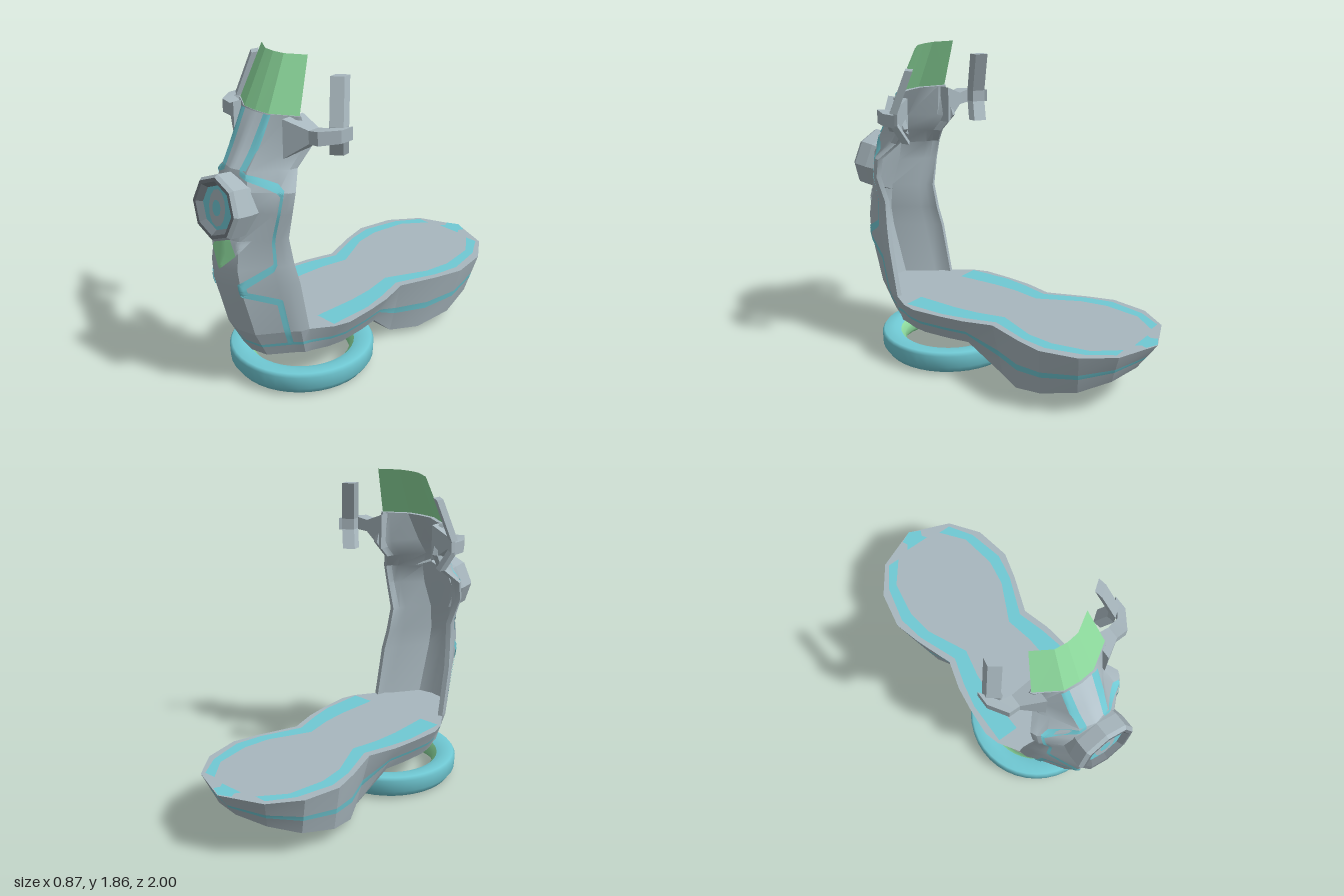
import * as THREE from 'three';
import { toCreasedNormals } from 'three/addons/utils/BufferGeometryUtils.js';

const V = (x, y, z) => new THREE.Vector3(x, y, z);
const flip = (p) => V(-p.x, p.y, p.z);

// Shield stations: height, front z, rear-edge z, half width
const STATIONS = [
  [0.21, 0.77, 0.54, 0.24], [0.375, 0.86, 0.585, 0.27], [0.675, 0.945, 0.64, 0.265],
  [0.79, 0.955, 0.665, 0.25], [0.94, 0.93, 0.685, 0.235], [1.1, 0.89, 0.7, 0.285],
  [1.21, 0.87, 0.68, 0.29], [1.3, 0.855, 0.6, 0.22], [1.4, 0.79, 0.52, 0.24], [1.575, 0.685, 0.585, 0.235],
];
// Half cross-section: fraction of width, fraction of depth
const HALF = [[0, 0], [0.42, 0.1], [0.8, 0.65], [0.95, 0.82], [1, 1]];

// Point on the shield surface; u runs from 0 (front centre) to +-4 (rear edges)
function surface(u, y, offset = 0) {
  let k = 0;
  while (k < STATIONS.length - 2 && y > STATIONS[k + 1][0]) k++;
  const a = STATIONS[k], b = STATIONS[k + 1], t = (y - a[0]) / (b[0] - a[0]);
  const [zf, zb, w] = [1, 2, 3].map((i) => a[i] + (b[i] - a[i]) * t);
  const s = Math.sign(u), v = Math.abs(u), i = Math.min(3, Math.floor(v)), f = v - i;
  const [px, pz] = [0, 1].map((j) => HALF[i][j] + (HALF[i + 1][j] - HALF[i][j]) * f);
  const dx = (HALF[i + 1][0] - HALF[i][0]) * w, dz = (HALF[i + 1][1] - HALF[i][1]) * (zf - zb);
  const len = Math.hypot(dx, dz);
  return V(s * (px * w + offset * dz / len), y, zf - pz * (zf - zb) + offset * dx / len);
}

function build(tris, crease) {
  const geo = new THREE.BufferGeometry().setFromPoints(tris);
  geo.computeVertexNormals();
  return toCreasedNormals(geo, crease);
}

// Skin closed loops; loops have an even count and run counter-clockwise about the growth direction
function loft(rings, { bottom = true, top = true, crease = 0.3 } = {}) {
  const tris = [], n = rings[0].length;
  const quad = (a, b, c, d) => tris.push(a, b, c, a, c, d);
  for (let r = 0; r < rings.length - 1; r++)
    for (let i = 0; i < n; i++) {
      const j = (i + 1) % n;
      quad(rings[r][i], rings[r][j], rings[r + 1][j], rings[r + 1][i]);
    }
  const first = rings[0], last = rings[rings.length - 1];
  for (let i = 0; i < n / 2 - 1; i++) {
    if (top) quad(last[i], last[i + 1], last[n - 2 - i], last[n - 1 - i]);
    if (bottom) quad(first[n - 1 - i], first[n - 2 - i], first[i + 1], first[i]);
  }
  return build(tris, crease);
}

// Open sheet through rows of points
function sheet(rows, crease = 0.5) {
  const tris = [];
  for (let r = 0; r < rows.length - 1; r++)
    for (let i = 0; i < rows[0].length - 1; i++) {
      const a = rows[r][i], b = rows[r][i + 1], c = rows[r + 1][i + 1], d = rows[r + 1][i];
      tris.push(a, b, c, a, c, d);
    }
  return build(tris, crease);
}

// Thin patch on the shield between two borders given as [u, y]
function patch(A, B, side = 1, offset = 0.007) {
  const rows = [], steps = 10, across = 6;
  const mix = THREE.MathUtils.lerp;
  for (let k = 0; k < A.length - 1; k++)
    for (let s = k ? 1 : 0; s <= steps; s++) {
      const t = s / steps;
      const a = [0, 1].map((i) => mix(A[k][i], A[k + 1][i], t));
      const b = [0, 1].map((i) => mix(B[k][i], B[k + 1][i], t));
      const row = [];
      for (let c = 0; c <= across; c++) {
        const f = c / across;
        row.push(surface(side * mix(a[0], b[0], f), mix(a[1], b[1], f), offset));
      }
      rows.push(side > 0 ? row : row.reverse());
    }
  return sheet(rows);
}

export function createModel() {
  const model = new THREE.Group();
  const mat = (name, color, side = THREE.FrontSide) =>
    Object.assign(new THREE.MeshStandardMaterial({ color, side }), { name });
  const grey = mat('grey', 0xa8b7be);
  const lightGrey = mat('light grey', 0xb6c6ce, THREE.DoubleSide);
  const darkGrey = mat('dark grey', 0x737d83);
  const cyan = mat('cyan', 0x70c9d4, THREE.DoubleSide);
  const green = mat('green', 0x8fdd9f, THREE.DoubleSide);
  const add = (name, geo, material, parent = model) => {
    const mesh = new THREE.Mesh(geo, material);
    mesh.name = name;
    parent.add(mesh);
    return mesh;
  };

  // Hover ring
  const lathe = (pts, seg) => new THREE.LatheGeometry(pts.map(([x, y]) => new THREE.Vector2(x, y)), seg);
  const outer = [[0.34, 0], [0.38, 0.008], [0.41, 0.05], [0.413, 0.12], [0.4, 0.14], [0.34, 0.14], [0.3, 0.125]];
  const inner = [[0.3, 0.125], [0.275, 0.095], [0.275, 0.045], [0.3, 0.012], [0.34, 0]];
  add('hoverRing', lathe(outer, 40), cyan).position.z = 0.4;
  add('hoverRingGlow', lathe(inner, 40), green).position.z = 0.4;

  // Foot deck: upper and lower outlines, right half then mirrored
  const us = [0, 1, 2, 3, 4];
  const upper = [...us.map((u) => surface(u, 0.375)), ...[
    [0.345, 0.47], [0.372, 0.38], [0.36, 0.2], [0.34, 0.05], [0.29, -0.12], [0.372, -0.345],
    [0.417, -0.51], [0.376, -0.73], [0.25, -0.9], [0, -1]].map(([x, z]) => V(x, 0.375, z))];
  const lower = [...us.map((u) => surface(u, 0.21)), ...[
    [0.275, 0.21, 0.45], [0.29, 0.21, 0.36], [0.28, 0.21, 0.2], [0.26, 0.21, 0.07], [0.2, 0.035, -0.13],
    [0.29, 0.035, -0.28], [0.35, 0.085, -0.48], [0.31, 0.135, -0.69], [0.19, 0.19, -0.83],
    [0, 0.21, -0.88]].map((p) => V(...p))];
  const deckRing = (f) => {
    const half = lower.map((p, i) => p.clone().lerp(upper[i], f));
    return [...half, ...half.map(flip).reverse()];
  };
  add('deckHull', loft([deckRing(0), deckRing(0.38)], { top: false }), grey);
  add('deckSideStripe', loft([deckRing(0.38), deckRing(0.5)], { top: false, bottom: false }), cyan);
  add('deckTop', loft([deckRing(0.5), deckRing(1)], { bottom: false }), grey);

  // Deck stripes: z, inner x, outer x
  const stripe = [[0.46, 0.2, 0.33], [0.2, 0.21, 0.33], [0.05, 0.2, 0.3], [-0.12, 0.165, 0.25],
    [-0.36, 0.28, 0.345], [-0.52, 0.305, 0.375], [-0.74, 0.27, 0.325], [-0.88, 0.16, 0.235]];
  for (const s of [1, -1])
    add('deckStripe', sheet(stripe.map(([z, a, b]) => (s > 0 ? [a, b] : [-b, -a]).map((x) => V(x, 0.379, z)))), cyan);
  const tip = [[-0.9, 0.075], [-0.93, 0.055], [-0.965, 0.07], [-0.998, 0.003]];
  add('deckTipMark', sheet(tip.map(([z, x]) => [V(-x, 0.379, z), V(x, 0.379, z)])), cyan);

  // Shield: curved shell open to the rear
  const fullU = [-4, -3, -2, -1, 0, 1, 2, 3, 4];
  const shell = STATIONS.slice(1).map(([y]) => [
    ...fullU.map((u) => surface(u, y)), ...fullU.map((u) => surface(u, y, -0.03)).reverse()]);
  add('shield', loft(shell, { crease: 0.65 }), grey);

  // Shield stripes, front panel and marks
  const bandA = [[2.1, 0.29], [2.1, 0.585], [1.15, 0.66], [1.15, 0.685], [2.35, 0.8], [2.6, 1.22], [0.6, 1.315]];
  const bandB = [[1.85, 0.29], [1.85, 0.56], [0.9, 0.64], [0.9, 0.71], [2.05, 0.81], [2.3, 1.19], [0.6, 1.285]];
  for (const s of [1, -1]) {
    add('shieldStripe', patch(bandA, bandB, s), cyan);
    add('panelStripe', patch([[0.55, 1.31], [0.7, 1.573]], [[0.95, 1.31], [1.1, 1.573]], s, 0.009), cyan);
    add('shieldFacet', patch([[0.9, 0.87], [0.5, 0.95]], [[0.9, 0.87], [1.4, 0.95]], s), lightGrey);
  }
  add('frontPanel', patch([[-0.55, 1.31], [-0.7, 1.573]], [[0.55, 1.31], [0.7, 1.573]], 1, 0.009), lightGrey);
  add('kiteMark', patch([[0, 0.78], [-0.9, 0.87], [-0.5, 0.95]], [[0, 0.78], [0.9, 0.87], [0.5, 0.95]]), green);

  // Windscreen
  const screenRow = (y, w, front, back, f) =>
    [[-w, back], [-0.4 * w, front - f], [0, front], [0.4 * w, front - f], [w, back]].map(([x, z]) => V(x, y, z));
  add('windscreen', sheet([screenRow(1.57, 0.23, 0.685, 0.59, 0.008), screenRow(1.855, 0.175, 0.55, 0.477, 0.008)], 0.1), green);

  // Headlamp: octagonal housing with recessed lens
  const lamp = new THREE.Group();
  lamp.name = 'headlamp';
  lamp.position.set(0, 1.115, 0.9);
  lamp.rotation.x = -0.12;
  model.add(lamp);
  const octagon = (pts) => toCreasedNormals(lathe(pts, 8).rotateX(Math.PI / 2), 0.1);
  add('lampHousing', octagon([[0.165, -0.1], [0.18, -0.02], [0.18, 0.06], [0.165, 0.08]]), grey, lamp);
  add('lampRim', octagon([[0.165, 0.08], [0.145, 0.08], [0.12, 0.05]]), darkGrey, lamp);
  const disc = (name, rx, ry, z, material, seg) =>
    add(name, new THREE.CircleGeometry(1, seg).scale(rx, ry, 1).translate(0, 0, z), material, lamp);
  disc('lampLens', 0.121, 0.121, 0.05, cyan, 8);
  disc('lampOval', 0.065, 0.1, 0.054, grey, 12);
  disc('lampCore', 0.033, 0.043, 0.058, cyan, 12);

  // Handlebars: bracket and bent grip on each side
  const bracket = [[0.19, 1.36, 1.57, 0.53, 0.67], [0.305, 1.45, 1.52, 0.53, 0.6],
    [0.37, 1.455, 1.53, 0.52, 0.6], [0.435, 1.46, 1.53, 0.42, 0.5]].map(([x, y0, y1, z0, z1]) =>
    [V(x, y1, z1), V(x, y0, z1), V(x, y0, z0), V(x, y1, z0)]);
  const corner = [[-0.025, 0.045], [0.033, 0.002], [0.025, -0.045], [-0.033, -0.002]];
  const grip = [[0.34, 1.36, 0.425], [0.385, 1.465, 0.468], [0.385, 1.53, 0.468], [0.325, 1.765, 0.4]].map(
    ([x, y, z]) => corner.map(([a, b]) => V(x + a, y, z + b)));
  const mirror = (rings) => rings.map((r) => r.map(flip).reverse());
  for (const [side, f] of [['left', (r) => r], ['right', mirror]]) {
    add(side + 'Bracket', loft(f(bracket)), grey);
    add(side + 'Grip', loft(f(grip), { crease: 0.1 }), grey);
  }
  return model;
}
